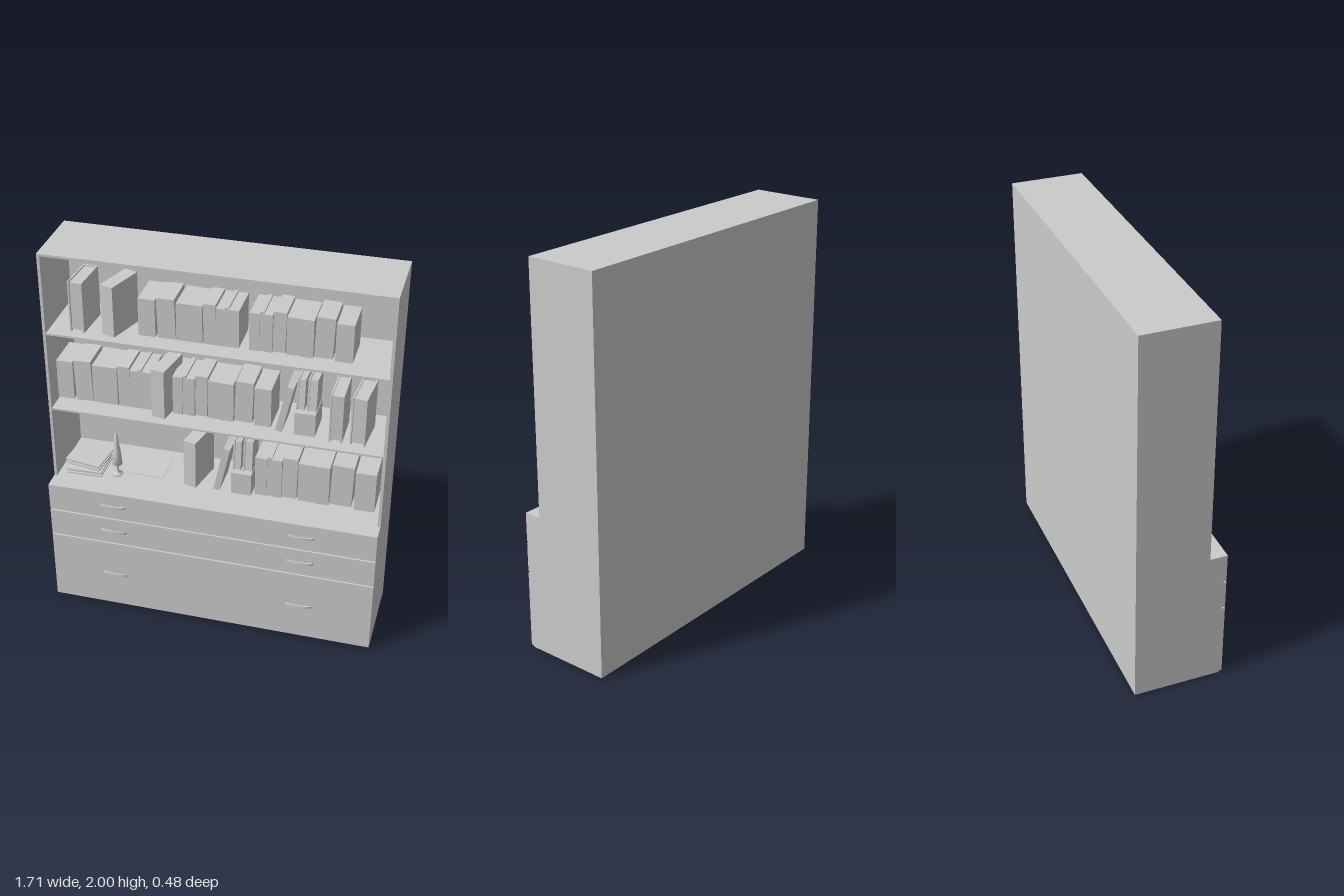
import * as THREE from 'three';

const mat = new THREE.MeshStandardMaterial({ color: 0xcccccc, side: THREE.DoubleSide });

function add(parent, name, geo, x = 0, y = 0, z = 0) {
  const m = new THREE.Mesh(geo, mat);
  m.name = name;
  m.position.set(x, y, z);
  parent.add(m);
  return m;
}

// Box given by its extents
function box(parent, name, x0, x1, y0, y1, z0, z1) {
  return add(parent, name, new THREE.BoxGeometry(x1 - x0, y1 - y0, z1 - z0),
    (x0 + x1) / 2, (y0 + y1) / 2, (z0 + z1) / 2);
}

function group(parent, name, x = 0, y = 0, z = 0) {
  const g = new THREE.Group();
  g.name = name;
  g.position.set(x, y, z);
  parent.add(g);
  return g;
}

// Book with two covers, a spine at the back and recessed pages; origin at bottom centre
function book(parent, x, y, z, w, h, d, turn = 0) {
  const g = group(parent, 'book', x, y, z), c = 0.008;
  g.rotation.y = turn;
  box(g, 'leftCover', -w / 2, -w / 2 + c, 0, h, -d / 2, d / 2);
  box(g, 'rightCover', w / 2 - c, w / 2, 0, h, -d / 2, d / 2);
  box(g, 'spine', -w / 2 + c, w / 2 - c, 0, h, -d / 2, -d / 2 + c);
  box(g, 'pages', -w / 2 + c, w / 2 - c, 0.008, h - 0.008, -d / 2 + c, d / 2 - 0.01);
  return g;
}

// Plain closed book seen from its spine
function plainBook(parent, x, y, z, w, h, d, turn = 0) {
  const g = group(parent, 'plainBook', x, y, z);
  g.rotation.y = turn;
  box(g, 'bookBody', -w / 2, w / 2, 0, h, -d / 2, d / 2);
  return g;
}

// Tight row of books: [start, end, extra height, front setback, lean]
const ROW = [
  [0, 0.1, 0, 0, 0], [0.1, 0.14, 0.01, 0.005, 0], [0.14, 0.225, 0, 0, 0],
  [0.225, 0.35, 0.014, 0.012, -0.02], [0.36, 0.5, 0, 0.004, 0], [0.5, 0.62, 0, 0, 0],
  [0.63, 0.81, 0.014, 0.014, -0.03], [0.83, 1, 0, 0, 0],
];
function bookRow(parent, x0, y, w, h, reversed = false) {
  const g = group(parent, 'bookRow', x0 + w / 2, y, -0.065);
  if (reversed) g.rotation.y = Math.PI;
  for (const [a, b, up, back, lean] of ROW) {
    const m = box(g, 'rowBook', (a - 0.5) * w, (b - 0.5) * w, 0, h + up, -0.095, 0.095 - back);
    m.rotation.z = lean;
  }
}

// Leaning book beside a short book with two taller ones tipped behind it
function leaningSet(parent, x, y) {
  const g = group(parent, 'leaningSet', x, y, 0);
  const lean = plainBook(g, 0.022, 0.002, -0.04, 0.034, 0.26, 0.17);
  lean.rotation.z = -0.21;
  box(g, 'shortBook', 0.1, 0.205, 0, 0.125, -0.12, 0.05);
  for (const [bx, w, h] of [[0.122, 0.042, 0.265], [0.178, 0.048, 0.27]]) {
    const b = book(g, bx, 0.02, -0.03, w, h, 0.13);
    b.rotation.x = -0.12;
  }
}

export function createModel() {
  const model = new THREE.Group();
  model.name = 'bookcase';
  const W = 0.855, B = -0.24, F = 0.135, baseTop = 0.73;

  // Lower cabinet with three drawer fronts
  const base = group(model, 'lowerCabinet');
  box(base, 'cabinetBody', -W, W, 0, baseTop, B, 0.21);
  const drawers = [[0.008, 0.41, 0.21], [0.418, 0.57, 0.495], [0.578, baseTop, 0.655]];

  // Bowed drawer pull
  const bow = new THREE.Shape();
  bow.moveTo(-0.068, 0);
  bow.bezierCurveTo(-0.06, 0.02, 0.06, 0.02, 0.068, 0);
  bow.lineTo(0.056, 0);
  bow.bezierCurveTo(0.045, 0.011, -0.045, 0.011, -0.056, 0);
  bow.closePath();
  const pull = new THREE.ExtrudeGeometry(bow, { depth: 0.015, bevelEnabled: false, curveSegments: 10 });
  pull.rotateX(Math.PI / 2);
  for (const [y0, y1, hy] of drawers) {
    box(base, 'drawerFront', -W, W, y0, y1, 0.21, 0.225);
    for (const x of [-0.51, 0.475]) add(base, 'drawerHandle', pull, x, hy + 0.008, 0.225);
  }

  // Upper open case
  const upper = group(model, 'upperCase');
  for (const s of [-1, 1]) {
    box(upper, 'sidePanel', s * W - (s > 0 ? 0.015 : 0), s * W + (s < 0 ? 0.015 : 0), baseTop, 2, B, F);
  }
  box(upper, 'topPanel', -W + 0.015, W - 0.015, 1.988, 2, B, F);
  box(upper, 'backPanel', -W + 0.015, W - 0.015, baseTop, 1.988, B, B + 0.012);
  for (const y of [1.143, 1.573]) {
    box(upper, 'shelf', -W + 0.015, W - 0.015, y - 0.01, y, B + 0.012, F - 0.004);
  }

  // Top shelf
  const top = group(model, 'topShelfBooks');
  book(top, -0.69, 1.573, -0.02, 0.075, 0.268, 0.2, -0.07);
  plainBook(top, -0.507, 1.573, -0.02, 0.07, 0.268, 0.2, -0.33);
  bookRow(top, -0.4, 1.573, 0.5, 0.2, true);
  bookRow(top, 0.15, 1.573, 0.5, 0.2);

  // Middle shelf
  const mid = group(model, 'middleShelfBooks');
  bookRow(mid, -0.84, 1.15, 0.495, 0.213, true);
  plainBook(mid, -0.278, 1.143, -0.02, 0.072, 0.27, 0.2, -0.2);
  bookRow(mid, -0.235, 1.15, 0.5, 0.213);
  leaningSet(mid, 0.285, 1.143);
  book(mid, 0.594, 1.143, -0.03, 0.066, 0.265, 0.2);
  book(mid, 0.71, 1.143, -0.03, 0.075, 0.265, 0.2, -0.09);

  // Bottom shelf
  const low = group(model, 'bottomShelfItems');
  plainBook(low, -0.125, baseTop, -0.05, 0.068, 0.27, 0.2, -0.23);
  leaningSet(low, -0.03, baseTop);
  bookRow(low, 0.19, baseTop, 0.615, 0.225);
  box(low, 'paperSheet', -0.48, -0.3, baseTop, baseTop + 0.003, -0.15, 0.02);

  // Two books lying flat
  for (const [y, turn, tilt] of [[0.758, 0, 0.02], [0.792, -0.12, -0.04]]) {
    const b = book(low, -0.7, y, 0, 0.028, 0.19, 0.2);
    b.rotation.set(0, turn, Math.PI / 2 + tilt);
    b.position.set(-0.61, y - 0.01, 0);
  }

  // Small ornament on a stem
  const profile = [[0, 0], [0.028, 0], [0.028, 0.008], [0.007, 0.014], [0.006, 0.06], [0.026, 0.065],
    [0.023, 0.12], [0.014, 0.19], [0.009, 0.24], [0, 0.255]].map(([r, y]) => new THREE.Vector2(r, y));
  add(low, 'ornament', new THREE.LatheGeometry(profile, 16), -0.54, baseTop, 0.04);

  return model;
}
